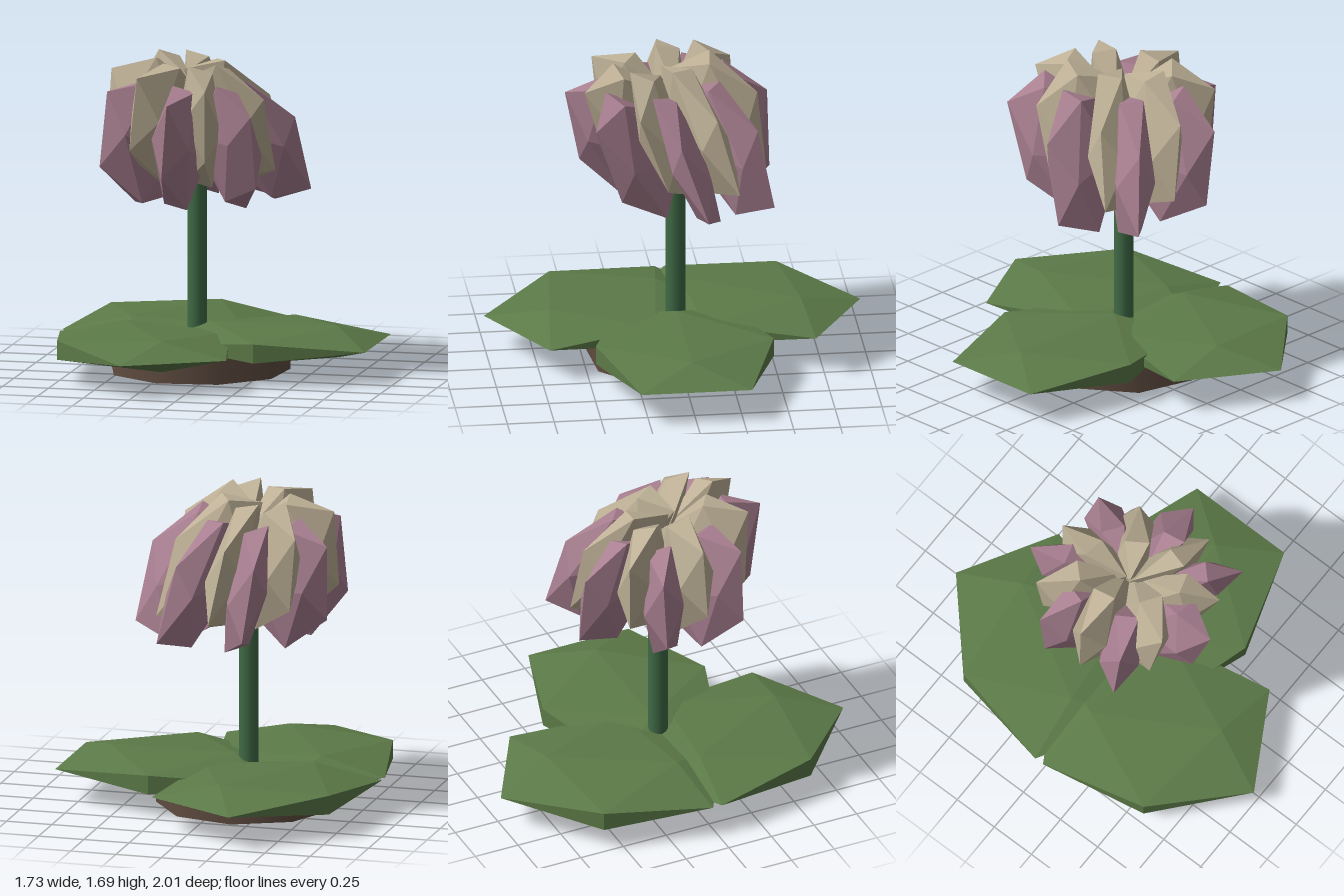
import * as THREE from 'three';

const mat = (color, flatShading = true) => new THREE.MeshStandardMaterial({ color, flatShading });

// Low-poly lens: icosahedron with half extents (long, thick, wide)
function lens(long, thick, wide) {
  const g = new THREE.IcosahedronGeometry(1, 0);
  const k = 0.8507; // largest coordinate of a unit icosahedron
  return g.scale(long / k, thick / k, wide / k);
}

export function createModel() {
  const model = new THREE.Group();
  model.name = 'flower';
  const add = (parent, name, geometry, material, x = 0, y = 0, z = 0) => {
    const mesh = new THREE.Mesh(geometry, material);
    mesh.name = name;
    mesh.position.set(x, y, z);
    parent.add(mesh);
    return mesh;
  };

  // Soil base and stem
  const soil = new THREE.CylinderGeometry(0.486, 0.486, 0.16, 9);
  add(model, 'soilBase', soil, mat(0x5f4c40, false), -0.112, 0.08, 0).rotation.y = -0.25;
  add(model, 'stem', new THREE.CylinderGeometry(0.053, 0.053, 1.05, 12), mat(0x3f6a45, false), -0.12, 0.685, 0);

  // Three ground leaves
  const leafGeometry = lens(0.565, 0.083, 0.475);
  const leafMaterial = mat(0x5c7a48);
  for (const [x, z, turn] of [[0.3, 0, 0], [-0.327, -0.37, Math.PI / 3], [-0.327, 0.367, -Math.PI / 3]]) {
    add(model, 'leaf', leafGeometry, leafMaterial, x, 0.18, z).rotation.y = turn;
  }

  // Flower head: level rings of upright petals, each skewed to one side
  const head = new THREE.Group();
  head.name = 'flowerHead';
  head.position.set(-0.095, 1.245, 0.008);
  model.add(head);

  function petalRing(name, color, radius, centre, size, startDegrees) {
    const material = mat(color);
    for (let i = 0; i < 7; i++) {
      const a = THREE.MathUtils.degToRad(startDegrees) + (i * Math.PI * 2) / 7;
      const dx = Math.cos(a), dz = -Math.sin(a);
      // Lean of the petal's top, depending on its place in the ring
      const leanX = -0.04 - 0.08 * dx + 0.15 * dz;
      const leanZ = 0.15 + 0.2 * dx + 0.08 * dz;
      const geometry = lens(...size).rotateX(Math.PI / 2).rotateY(a);
      const p = geometry.attributes.position;
      for (let v = 0; v < p.count; v++) {
        const x = p.getX(v), y = p.getY(v), z = p.getZ(v);
        p.setXYZ(v, x + leanX * y, y + 0.25 * (z - x), z + leanZ * y);
      }
      geometry.computeVertexNormals();
      const [cx, cy, cz] = centre;
      add(head, name, geometry, material, cx + radius * dx, cy, cz + radius * dz);
    }
  }
  petalRing('outerPetal', 0xa87f90, 0.315, [0, 0, 0], [0.23, 0.105, 0.33], 5);
  petalRing('innerPetal', 0xbdb096, 0.225, [-0.03, 0.1, 0], [0.24, 0.105, 0.325], 32);

  return model;
}
